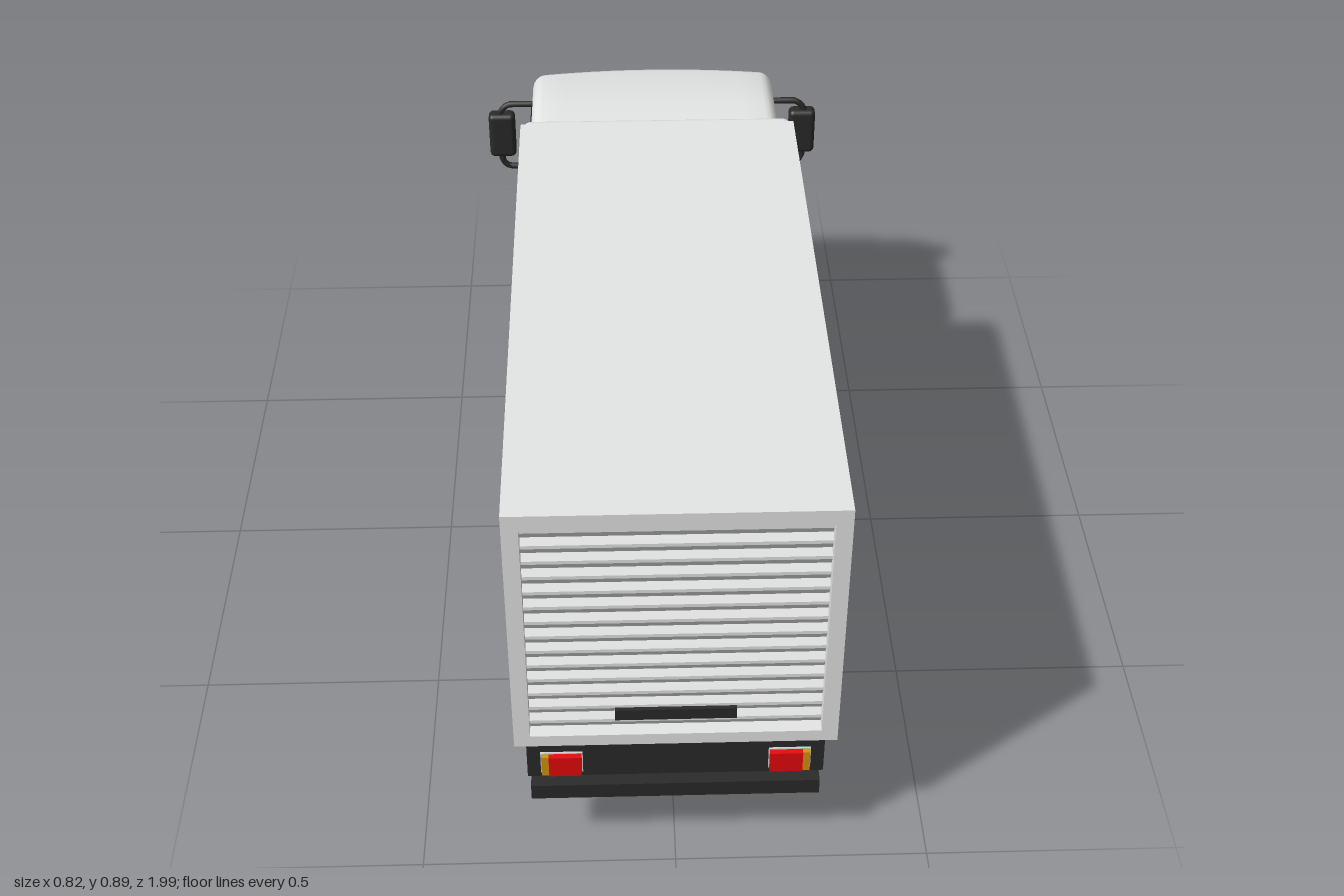
import * as THREE from 'three';
import { toCreasedNormals } from 'three/addons/utils/BufferGeometryUtils.js';
import { RoundedBoxGeometry } from 'three/addons/geometries/RoundedBoxGeometry.js';

const mat = (name, color, side = THREE.FrontSide) =>
  Object.assign(new THREE.MeshStandardMaterial({ color, side }), { name });

export function createModel() {
  const truck = new THREE.Group();
  truck.name = 'boxTruck';
  const white = mat('bodyWhite', 0xe6e8e7);
  const dark = mat('darkPlastic', 0x2a2a2a);
  const glass = mat('darkGlass', 0x272727, THREE.DoubleSide);
  const red = mat('tailRed', 0xe80a0a);
  const amber = mat('indicatorAmber', 0xd8920e);
  const clear = mat('headlightClear', 0xdcc08c);
  const silver = mat('rimSilver', 0xd0d2d2);

  const add = (name, geo, material, parent = truck) => {
    const m = new THREE.Mesh(geo, material);
    m.name = name;
    parent.add(m);
    return m;
  };
  // Box given by its limits on each axis
  const box = (name, m, x0, x1, y0, y1, z0, z1) => {
    const o = add(name, new THREE.BoxGeometry(Math.abs(x1 - x0), y1 - y0, z1 - z0), m);
    o.position.set((x0 + x1) / 2, (y0 + y1) / 2, (z0 + z1) / 2);
    return o;
  };
  // Shape from [z, y] points, and a sideways extrusion of a shape along x
  const sideShape = (pts) => new THREE.Shape(pts.map(([z, y]) => new THREE.Vector2(-z, y)));
  const extrudeX = (shape, x0, x1, bevel = 0, steps = 1) => {
    const g = new THREE.ExtrudeGeometry(shape, {
      depth: x1 - x0 - 2 * bevel, steps, curveSegments: 12, bevelEnabled: bevel > 0,
      bevelSize: bevel, bevelThickness: bevel, bevelOffset: -bevel, bevelSegments: 4,
    });
    return g.translate(0, 0, x0 + bevel).rotateY(Math.PI / 2);
  };

  // ---- Cab: side profile extruded, then tapered upward and bowed at the nose
  const HALF = 0.314, BEVEL = 0.03;
  const warp = (geo, crease = 0.6) => {
    const p = geo.attributes.position;
    for (let i = 0; i < p.count; i++) {
      const x = p.getX(i), y = p.getY(i), z = p.getZ(i);
      const k = Math.min(1, Math.max(0, (-0.5 - z) / 0.45));
      p.setXYZ(i, x * (1 - 0.14 * (y - 0.3)), y, z + 0.033 * k * (x / HALF) ** 2);
    }
    return toCreasedNormals(geo, crease);
  };
  const nose = [[-0.982, 0.14], [-0.99, 0.39], [-0.978, 0.46], [-0.855, 0.74]];
  const arch = [[-0.43, 0.31], [-0.53, 0.317], [-0.635, 0.325], [-0.69, 0.3],
    [-0.735, 0.265], [-0.765, 0.21], [-0.775, 0.14]];
  const roof = [[-0.842, 0.757], [-0.82, 0.766], [-0.65, 0.776], [-0.48, 0.775],
    [-0.452, 0.768], [-0.436, 0.745]];
  add('cabBody', warp(extrudeX(sideShape([...arch, ...nose, ...roof]), -HALF, HALF, BEVEL, 10)), white);
  // Dark lining under the wheel arch and the cab floor
  const lining = [...arch, ...[...arch].reverse().map(([z, y]) => [z + 0.007, y - 0.007])];
  add('archLining', extrudeX(sideShape(lining), -0.3, 0.3), dark);
  box('cabFloor', dark, -0.3, 0.3, 0.13, 0.142, -0.95, -0.772);
  box('engineBlock', dark, -0.17, 0.17, 0.15, 0.31, -0.78, -0.4);
  const bumperProfile = [[-0.9, 0.14], [-0.975, 0.135], [-0.997, 0.155], [-1, 0.22], [-0.99, 0.237], [-0.9, 0.237]];
  add('frontBumper', warp(extrudeX(sideShape(bumperProfile), -0.32, 0.32, 0.02, 10)), dark);

  // Thin plates that follow the nose; each end is [y, xFrom, xTo]
  const noseZ = (y) => {
    const i = y > nose[2][1] ? 2 : y > nose[1][1] ? 1 : 0;
    const [za, ya] = nose[i], [zb, yb] = nose[i + 1];
    return za + (zb - za) * (y - ya) / (yb - ya);
  };
  const nosePlate = (name, m, [y0, a0, b0], [y1, a1, b1]) => {
    const g = new THREE.PlaneGeometry(1, 1, 12, 4).rotateY(Math.PI);
    const p = g.attributes.position;
    for (let i = 0; i < p.count; i++) {
      const u = p.getX(i) + 0.5, v = p.getY(i) + 0.5, L = THREE.MathUtils.lerp;
      const x = L(L(a0, b0, u), L(a1, b1, u), v), y = L(y0, y1, v);
      const t = Math.min(1, Math.max(0, (Math.abs(x) - HALF + BEVEL) / BEVEL));
      p.setXYZ(i, x, y, noseZ(y) - 0.005 + BEVEL * (1 - Math.sqrt(1 - t * t)));
    }
    add(name, warp(g), m);
  };
  nosePlate('windscreen', glass, [0.495, -0.298, 0.298], [0.725, -0.284, 0.284]);
  nosePlate('grilleLower', glass, [0.235, -0.193, 0.193], [0.31, -0.193, 0.193]);
  nosePlate('grilleUpper', glass, [0.31, -0.193, 0.193], [0.345, -0.16, 0.16]);
  for (const s of [-1, 1]) {
    const span = (a, b) => (s > 0 ? [a, b] : [-b, -a]);
    nosePlate('headlight', clear, [0.24, ...span(0.197, 0.26)], [0.318, ...span(0.197, 0.26)]);
    nosePlate('frontIndicator', amber, [0.24, ...span(0.26, 0.3)], [0.322, ...span(0.26, 0.3)]);
  }

  // ---- Paired cab parts: side windows, handles, mirrors, mudguards
  const windowPts = [[-0.545, 0.712], [-0.545, 0.555], [-0.79, 0.492], [-0.84, 0.5],
    [-0.852, 0.58], [-0.825, 0.65], [-0.785, 0.712]];
  for (const s of [-1, 1]) {
    const x = s * (HALF + 0.001);
    add('sideWindow', warp(extrudeX(sideShape(windowPts), x - 0.003, x + 0.003)), glass);
    box('doorHandle', dark, s * 0.3, s * 0.315, 0.398, 0.426, -0.598, -0.542);
    const path = new THREE.CatmullRomCurve3([[0.28, 0.668], [0.36, 0.668], [0.382, 0.645], [0.382, 0.51],
      [0.365, 0.49], [0.28, 0.485]].map(([px, py]) => new THREE.Vector3(s * px, py, -0.835)), false, 'catmullrom', 0.15);
    add('mirrorArm', new THREE.TubeGeometry(path, 32, 0.008, 8), dark);
    add('mirrorHead', new RoundedBoxGeometry(0.066, 0.12, 0.04, 3, 0.012), dark)
      .position.set(s * 0.379, 0.583, -0.838);
    box('frontMudguard', dark, s * 0.2, s * 0.321, 0.13, 0.335, -0.445, -0.425);
  }

  // ---- Cargo box: core, rounded front end, side frames and rear frame
  box('cargoCore', white, -0.299, 0.299, 0.315, 0.895, -0.345, 0.94);
  add('cargoFront', new RoundedBoxGeometry(0.614, 0.58, 0.065, 4, 0.025), white).position.set(0, 0.605, -0.3425);
  const rect = (Type, x0, x1, y0, y1) => new Type([[x0, y0], [x1, y0], [x1, y1], [x0, y1]]
    .map((q) => new THREE.Vector2(...q)));
  const sideFrame = rect(THREE.Shape, -0.97, 0.345, 0.315, 0.895);
  sideFrame.holes.push(rect(THREE.Path, -0.955, 0.315, 0.345, 0.865));
  add('sideFrameLeft', extrudeX(sideFrame, 0.298, 0.307), white);
  add('sideFrameRight', extrudeX(sideFrame, -0.307, -0.298), white);
  const rearFrame = rect(THREE.Shape, -0.307, 0.307, 0.315, 0.895);
  rearFrame.holes.push(rect(THREE.Path, -0.276, 0.276, 0.342, 0.86));
  add('rearFrame', new THREE.ExtrudeGeometry(rearFrame, { depth: 0.045, bevelEnabled: false }), white)
    .position.z = 0.935;
  box('bulkheadPanel', dark, -0.155, 0.155, 0.36, 0.785, -0.39, -0.37);

  // Roller shutter: repeated slat profile
  const SLATS = 14, pitch = 0.518 / SLATS, slatPts = [[0.93, 0.342]];
  for (let i = 0; i < SLATS; i++) {
    const y = 0.342 + i * pitch;
    slatPts.push([0.953, y], [0.962, y + pitch * 0.45], [0.962, y + pitch * 0.65]);
  }
  slatPts.push([0.953, 0.86], [0.93, 0.86]);
  add('rollerShutter', extrudeX(sideShape(slatPts), -0.277, 0.277), white);
  box('shutterHandle', dark, -0.115, 0.115, 0.371, 0.397, 0.95, 0.97);

  // ---- Chassis
  box('cargoFloor', dark, -0.285, 0.285, 0.285, 0.316, -0.36, 0.94);
  box('rearLightPanel', dark, -0.285, 0.285, 0.22, 0.31, 0.93, 0.97);
  box('rearBumper', dark, -0.28, 0.28, 0.157, 0.193, 0.91, 0.972);
  for (const z of [-0.38, -0.2, 0.1, 0.35, 0.72]) box('crossMember', dark, -0.2, 0.2, 0.22, 0.29, z, z + 0.04);
  for (const s of [-1, 1]) {
    box('chassisRail', dark, s * 0.11, s * 0.16, 0.205, 0.3, -0.9, 0.95);
    box('bumperBracket', dark, s * 0.11, s * 0.16, 0.16, 0.22, 0.9, 0.93);
    box('sideTank', dark, s * 0.16, s * 0.27, 0.17, 0.295, -0.37, -0.2);
    box('guardRailUpper', dark, s * 0.272, s * 0.29, 0.185, 0.218, -0.37, 0.3);
    box('guardRailLower', dark, s * 0.272, s * 0.29, 0.155, 0.172, -0.3, 0.36);
    for (const z of [-0.3, 0, 0.27]) box('guardPost', dark, s * 0.262, s * 0.275, 0.155, 0.3, z, z + 0.025);
    box('tailLightBezel', silver, s * 0.178, s * 0.259, 0.234, 0.287, 0.968, 0.974);
    box('tailLight', red, s * 0.18, s * 0.243, 0.235, 0.285, 0.965, 0.985);
    box('rearIndicator', amber, s * 0.243, s * 0.257, 0.235, 0.285, 0.965, 0.983);
    // Leaf springs
    for (const z of [0.533, -0.615]) box('leafSpring', dark, s * 0.13, s * 0.165, 0.165, 0.19, z - 0.15, z + 0.15);
    // Rear mudguard arc and flap
    const guard = new THREE.Shape();
    guard.absarc(-0.533, 0.145, 0.168, 0.5, Math.PI, false);
    guard.absarc(-0.533, 0.145, 0.16, Math.PI, 0.5, true);
    const cx = s * 0.253;
    add('rearMudguard', extrudeX(guard, cx - 0.052, cx + 0.052), dark);
    box('rearMudflap', dark, cx - 0.052, cx + 0.052, 0.08, 0.16, 0.693, 0.702);
  }

  // ---- Wheels and axles
  const tyre = (R, w, dish) => toCreasedNormals(new THREE.LatheGeometry([[0, -w], [R * 0.86, -w], [R, -w * 0.75],
    [R, w * 0.9], [R * 0.97, w], [R * 0.66, w], [R * 0.58, w - dish], [0, w - dish]]
    .map((q) => new THREE.Vector2(...q)), 20), 0.5);
  for (const z of [0.533, -0.615]) {
    for (const s of [-1, 1]) {
      const wheel = add('wheel', tyre(0.14, 0.042, 0.006), dark);
      wheel.rotation.z = -s * Math.PI / 2;
      wheel.position.set(s * 0.258, 0.14, z);
    }
    const axle = add('axle', new THREE.CylinderGeometry(0.02, 0.02, 0.46, 12), dark);
    axle.rotation.z = Math.PI / 2;
    axle.position.set(0, 0.14, z);
  }
  const diff = add('differential', new THREE.SphereGeometry(0.048, 16, 12), dark);
  diff.position.set(0, 0.13, 0.54);
  const shaft = add('driveShaft', new THREE.CylinderGeometry(0.016, 0.016, 0.95, 10), dark);
  shaft.rotation.x = Math.PI / 2;
  shaft.position.set(0, 0.19, 0.05);

  // Spare wheel hung upright under the middle
  const spare = new THREE.Group();
  spare.name = 'spareWheel';
  spare.position.set(0, 0.145, -0.035);
  spare.rotation.z = -Math.PI / 2;
  truck.add(spare);
  add('spareTyre', tyre(0.131, 0.034, 0.012), dark, spare);
  for (const s of [-1, 1]) {
    const rim = add('rimRing', new THREE.TorusGeometry(0.078, 0.008, 8, 24), silver, spare);
    rim.rotation.x = Math.PI / 2;
    rim.position.y = s * 0.029;
    for (let i = 0; i < 5; i++) {
      const a = i * Math.PI * 0.4;
      const spoke = add('rimSpoke', new THREE.BoxGeometry(0.075, 0.012, 0.02), silver, spare);
      spoke.rotation.y = -a;
      spoke.position.set(Math.cos(a) * 0.04, s * 0.029, Math.sin(a) * 0.04);
    }
  }
  return truck;
}
